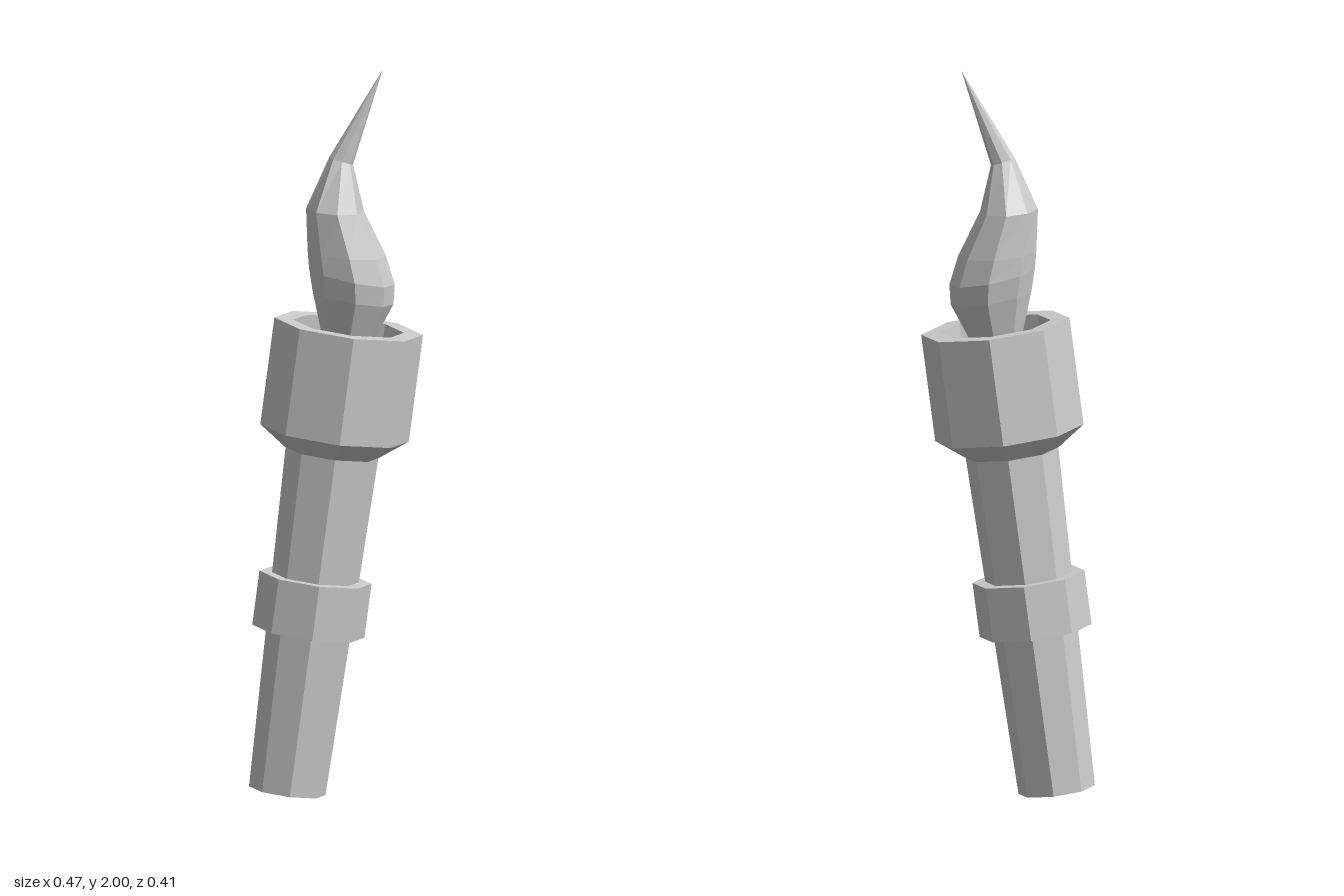
import * as THREE from 'three';

const SIDES = 8;
const LEAN = 0.13;

export function createModel() {
  const model = new THREE.Group();
  model.name = 'torch';
  const material = new THREE.MeshStandardMaterial({ color: 0xcccccc, flatShading: true });

  const add = (parent, name, geometry) => {
    const mesh = new THREE.Mesh(geometry, material);
    mesh.name = name;
    parent.add(mesh);
  };
  // Octagonal turned part from [radius, height] pairs, bottom to top
  const turned = (profile) =>
    new THREE.LatheGeometry(profile.map(([r, y]) => new THREE.Vector2(r, y)), SIDES);

  // Leaning body, built upright around its own axis
  const body = new THREE.Group();
  body.name = 'body';
  body.position.set(-0.134, 0.0137, 0);
  body.rotation.z = -LEAN;
  model.add(body);

  add(body, 'handle', turned([[0, 0], [0.105, 0], [0.128, 0.96], [0, 0.96]]));
  add(body, 'gripBand', turned([[0.11, 0.443], [0.154, 0.443], [0.154, 0.593], [0.11, 0.593]]));
  // Hollow cup with a chamfered foot and recessed floor
  add(body, 'cup', turned([
    [0, 0.94], [0.13, 0.94], [0.204, 0.994], [0.204, 1.29], [0.152, 1.29], [0.152, 1.18], [0, 1.18],
  ]));

  // Flame cross-sections: centre x, centre y, half width, half depth, tilt
  const sections = [
    [0.02, 1.19, 0.045, 0.045, -0.13],
    [0.045, 1.372, 0.112, 0.108, -0.18],
    [0.042, 1.43, 0.119, 0.118, -0.2],
    [0.028, 1.495, 0.107, 0.113, -0.08],
    [-0.004, 1.615, 0.079, 0.095, -0.06],
    [0.013, 1.75, 0.034, 0.026, -0.32],
    [0.126, 2.0, 0, 0, 0],
  ];
  const positions = [];
  const indices = [];
  sections.forEach(([cx, cy, rx, rz, tilt], row) => {
    for (let i = 0; i < SIDES; i++) {
      const a = (i / SIDES) * Math.PI * 2;
      const u = Math.sin(a) * rx;
      positions.push(cx + u * Math.cos(tilt), cy + u * Math.sin(tilt), Math.cos(a) * rz);
      if (row === sections.length - 1) continue;
      const p = row * SIDES + i;
      const q = row * SIDES + ((i + 1) % SIDES);
      indices.push(p, q, q + SIDES);
      if (row < sections.length - 2) indices.push(p, q + SIDES, p + SIDES);
    }
  });
  const flame = new THREE.BufferGeometry();
  flame.setAttribute('position', new THREE.Float32BufferAttribute(positions, 3));
  flame.setIndex(indices);
  flame.computeVertexNormals();
  add(model, 'flame', flame);

  return model;
}
